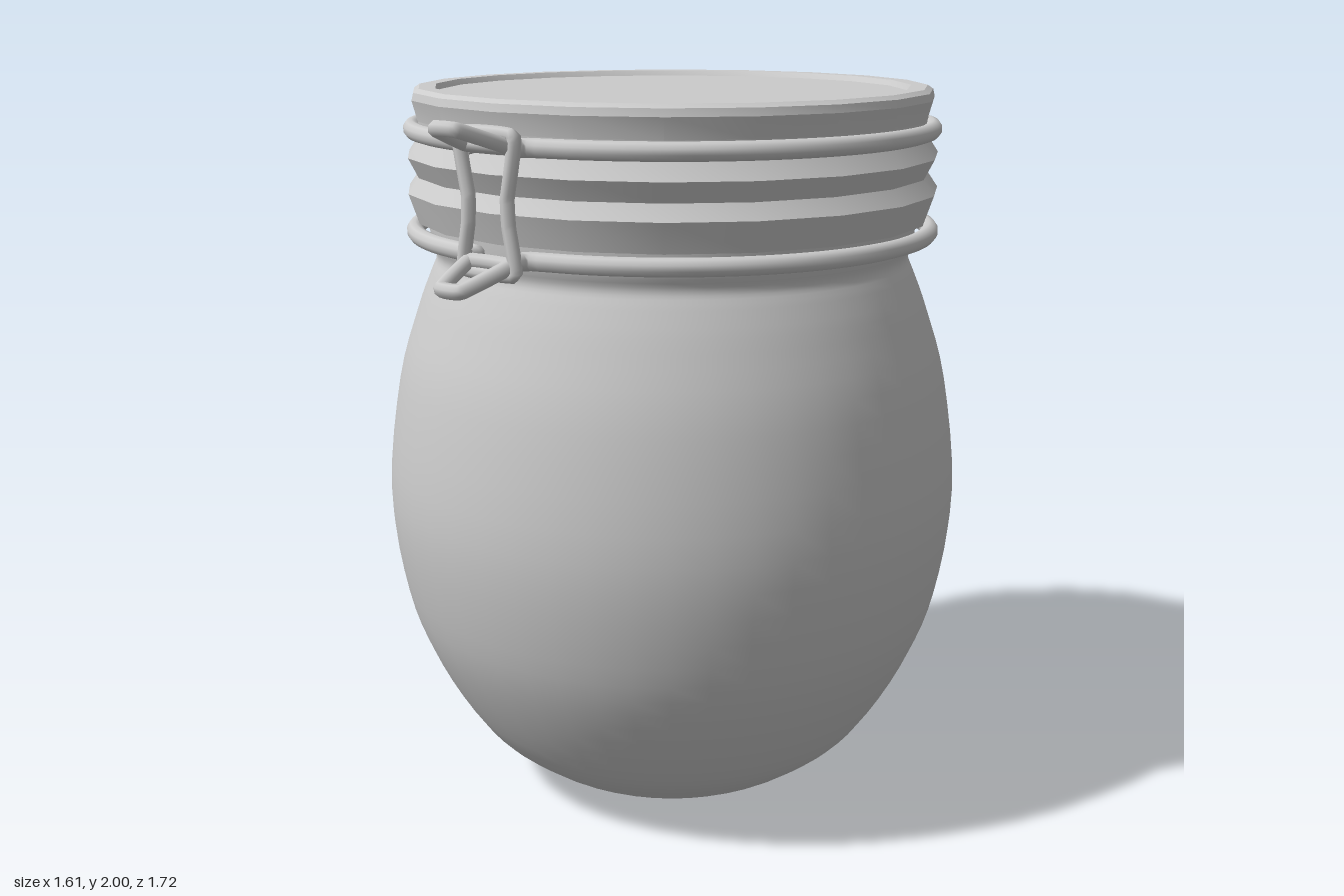
import * as THREE from 'three';
import { toCreasedNormals } from 'three/addons/utils/BufferGeometryUtils.js';

const AXIS_Z = -0.055; // jar axis sits slightly back, the clasp sticks out in front
const CLASP_X = 0.015;

export function createModel() {
  const group = new THREE.Group();
  const material = new THREE.MeshStandardMaterial({ color: 0xcccccc });

  const add = (name, geometry, z = 0) => {
    const mesh = new THREE.Mesh(geometry, material);
    mesh.name = name;
    mesh.position.z = z;
    group.add(mesh);
    return mesh;
  };
  const vec2 = (list) => list.map(([r, y]) => new THREE.Vector2(r, y));
  const vec3 = (list) => list.map((p) => new THREE.Vector3(...p));

  // Faceted lathe: smooth around, sharp along the profile
  const ribbed = (list) => toCreasedNormals(new THREE.LatheGeometry(vec2(list), 20), 0.4);

  // Round-bodied jar with flat foot and pinched neck
  const curve = new THREE.SplineCurve(vec2([
    [0.25, 0.005], [0.36, 0.035], [0.47, 0.1], [0.58, 0.2], [0.7, 0.4], [0.77, 0.6], [0.805, 0.88],
    [0.768, 1.2], [0.71, 1.4], [0.672, 1.5], [0.655, 1.545], [0.668, 1.59], [0.675, 1.66],
  ]));
  add('jarBody', new THREE.LatheGeometry(
    [new THREE.Vector2(0, 0), ...curve.getPoints(48)], 48), AXIS_Z);

  // Jar rim below the seam
  add('jarRim', ribbed([
    [0.64, 1.645], [0.705, 1.645], [0.732, 1.725], [0.702, 1.768], [0.64, 1.768],
  ]), AXIS_Z);

  // Lid with flared lower edge, rounded top rim and shallow recess
  add('lid', ribbed([
    [0.64, 1.765], [0.702, 1.765], [0.73, 1.82], [0.7, 1.865], [0.7, 1.915],
    [0.715, 1.97], [0.71, 1.99], [0.695, 2.0], [0.65, 2.0], [0.64, 1.985], [0, 1.985],
  ]), AXIS_Z);

  // Wire bands whose ends bend out to the clasp
  const wireBand = (name, y) => {
    const points = [[CLASP_X - 0.075, y, 0.7], [CLASP_X - 0.085, y, 0.655]];
    const start = 0.2, count = 40;
    for (let i = 0; i <= count; i++) {
      const a = start + (i / count) * (Math.PI * 2 - start * 2);
      points.push([-Math.sin(a) * 0.71, y, AXIS_Z + Math.cos(a) * 0.71]);
    }
    points.push([CLASP_X + 0.085, y, 0.655], [CLASP_X + 0.075, y, 0.7]);
    const path = new THREE.CatmullRomCurve3(vec3(points));
    add(name, new THREE.TubeGeometry(path, 160, 0.024, 10));
  };
  wireBand('upperBand', 1.89);
  wireBand('lowerBand', 1.615);

  // Closed wire loop with tight corners
  const wireLoop = (name, points, radius) => {
    const path = new THREE.CatmullRomCurve3(vec3(points), true, 'catmullrom', 0.15);
    add(name, new THREE.TubeGeometry(path, 96, radius, 8, true)).position.x = CLASP_X;
  };

  // Waisted upright frame of the clasp
  wireLoop('claspFrame', [
    [-0.09, 1.92, 0.7], [-0.065, 1.77, 0.7], [-0.068, 1.7, 0.7], [-0.085, 1.585, 0.7],
    [0.085, 1.585, 0.7], [0.068, 1.7, 0.7], [0.065, 1.77, 0.7], [0.09, 1.92, 0.7],
  ], 0.018);

  // Tapered levers pointing forward, one up and one down
  const lever = (name, baseY, tipY) => wireLoop(name, [
    [-0.068, baseY, 0.7], [-0.034, tipY, 0.835], [0.034, tipY, 0.835], [0.068, baseY, 0.7],
  ], 0.02);
  lever('upperLever', 1.895, 1.942);
  lever('lowerLever', 1.607, 1.56);

  return group;
}
